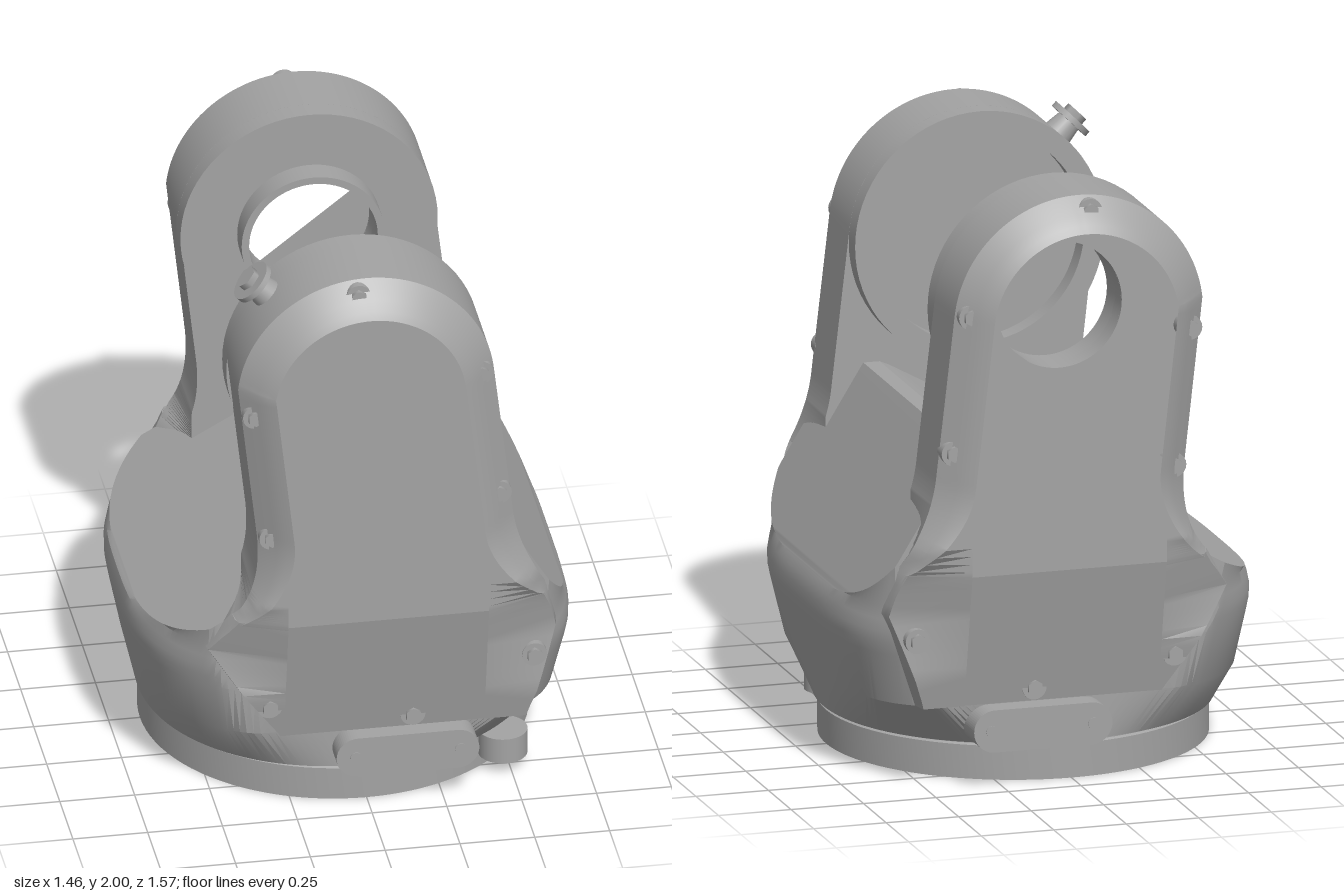
import * as THREE from 'three';
import { toCreasedNormals } from 'three/addons/utils/BufferGeometryUtils.js';

const CX = -0.01, CY = 1.57, R = 0.43; // joint axis and arm head radius
const V = (x, y, z) => new THREE.Vector3(x, y, z);
const { clamp, smoothstep } = THREE.MathUtils;

function fromTriangles(points, crease) {
  const g = new THREE.BufferGeometry().setFromPoints(points);
  return toCreasedNormals(g, crease);
}

// closed cross-sections joined in order
function loft(rings) {
  const out = [];
  for (let k = 0; k + 1 < rings.length; k++) {
    const a = rings[k], b = rings[k + 1], n = a.length;
    for (let i = 0; i < n; i++) {
      const j = (i + 1) % n;
      out.push(a[i], a[j], b[j], a[i], b[j], b[i]);
    }
  }
  return out;
}

// flat polygon, with every vertex placed by a rule
function cap(points, place, flip, hole) {
  const shape = new THREE.Shape(points);
  if (hole) shape.holes.push(hole);
  const g = new THREE.ShapeGeometry(shape, 32).toNonIndexed(), p = g.attributes.position, out = [];
  for (let i = 0; i < p.count; i++) out.push(place({ x: p.getX(i), y: p.getY(i) }));
  if (flip) for (let i = 0; i < out.length; i += 3) [out[i], out[i + 1]] = [out[i + 1], out[i]];
  return out;
}

function mirrorZ(points) {
  const out = points.map((p) => V(p.x, p.y, -p.z));
  for (let i = 0; i < out.length; i += 3) [out[i], out[i + 1]] = [out[i + 1], out[i]];
  return out;
}

// hollow ring around z
function ring(rIn, rOut, z0, z1) {
  const p = [[rIn, z0], [rOut, z0], [rOut, z1], [rIn, z1], [rIn, z0]].map((q) => new THREE.Vector2(...q));
  const g = new THREE.LatheGeometry(p, 72).rotateX(Math.PI / 2).translate(CX, CY, 0);
  return toCreasedNormals(g, 0.5);
}

// front outline of an arm with its lower cover, counter-clockwise
function armOutline() {
  const s = new THREE.Path();
  s.moveTo(-0.3, 0.28).lineTo(0.53, 0.28).lineTo(0.64, 0.6).lineTo(0.605, 0.75).lineTo(0.54, 0.88);
  s.quadraticCurveTo(0.49, 0.98, 0.48, 1.08);
  s.lineTo(CX + R * Math.cos(0.11), CY + R * Math.sin(0.11));
  s.absarc(CX, CY, R, 0.11, Math.PI - 0.11, false);
  s.lineTo(-0.375, 1.06);
  s.quadraticCurveTo(-0.355, 0.85, -0.46, 0.75);
  s.lineTo(-0.54, 0.62).lineTo(-0.3, 0.28);
  const raw = s.getPoints(32), out = [];
  for (let i = 0; i + 1 < raw.length; i++) {
    const n = Math.max(1, Math.ceil(raw[i].distanceTo(raw[i + 1]) / 0.04));
    for (let k = 0; k < n; k++) out.push(raw[i].clone().lerp(raw[i + 1], k / n));
  }
  return out.filter((p, i) => i === 0 || p.distanceTo(out[i - 1]) > 1e-4);
}

const FACE = 0.785; // depth of the outer faces
// lower cover leans inwards and wraps round the housing corners
const lean = (y) => Math.max(0, 0.75 - y) * 0.2;
function wrap(x, y) {
  const n = x > 0 ? 4 : 2.8;
  const plan = 0.785 * (1 - Math.min(1, Math.abs(x) / 0.735) ** n) ** (1 / n);
  return plan + 0.005 + smoothstep(y, 0.7, 1.15) * 0.15;
}

function armTriangles(open) {
  const outline = armOutline(), n = outline.length;
  const inset = (width) => outline.map((p, i) => {
    const t = outline[(i + 1) % n].clone().sub(outline[(i + n - 1) % n]).normalize();
    const d = width * (0.08 + 0.92 * smoothstep(p.y, 0.65, 1.05));
    const y = Math.abs(p.y - 0.75) < 1e-6 ? 0.75 : p.y + t.x * d;
    return new THREE.Vector2(p.x - t.y * d, y);
  });
  const at = (z) => (p) => V(p.x, p.y, Math.min(z - lean(p.y), wrap(p.x, p.y) - (FACE - z) * 0.5));
  const flat = (p) => V(p.x, p.y, 0.47);
  // the flare at the foot dies out towards the inner wall
  const inner = outline.map((p) => new THREE.Vector2(p.y < 1 ? clamp(p.x, -0.39, 0.5) : p.x, p.y));
  const rim = inset(0.11);
  const face = rim.map((p) => new THREE.Vector2(clamp(p.x, -0.285, 0.385), p.y));
  const onFace = (p) => V(p.x, p.y, FACE - lean(p.y));
  const shell = loft([inner.map(flat), outline.map(at(0.69)), inset(0.055).map(at(0.745)),
    inset(0.085).map(at(0.77)), rim.map(at(FACE))]);
  // inner wall, bored through on the open arm
  const bore = open ? new THREE.Path().absarc(CX, CY, 0.215, 0, Math.PI * 2, true) : null;
  shell.push(...cap(inner.filter((p) => p.y >= 0.75), flat, true, bore));
  // outer cover: wrapped edges, leaning skirt and upright face
  const keep = (p) => !open || p.y < 1.34 + 0.82 * p.x;
  const wrapped = loft([rim.map(at(FACE)), face.map(onFace)]);
  for (let i = 0; i < wrapped.length; i += 3) {
    const t = wrapped.slice(i, i + 3);
    if (t.every(keep)) shell.push(...t);
  }
  const cover = cap(face.filter((p) => p.y <= 0.75), onFace);
  cover.push(...cap(face.filter((p) => p.y >= 0.75 && keep(p)), onFace));
  return { shell, cover };
}

// rounded housing cut by two sloping planes with a blunt ridge
function housingTriangles() {
  const N = 160;
  const roof = (x) => Math.min(0.985 + 0.555 * x, 1.755 - 1.62 * x, 1.155);
  const levels = [ // y, half width, half depth, squareness right, left
    [0.13, 0.655, 0.655, 2.1, 2.1], [0.28, 0.688, 0.69, 3.8, 2.9], [0.46, 0.725, 0.73, 4, 2.9],
    [0.5, 0.732, 0.74, 4, 2.9], [0.54, 0.732, 0.75, 4, 2.9], [0.58, 0.722, 0.76, 4, 2.9],
    [0.62, 0.71, 0.77, 4, 2.9], [0.75, 0.71, 0.785, 4, 2.9], [1.25, 0.71, 0.785, 4, 2.9],
  ];
  const rings = levels.map(([y, a, b, nr, nl]) => Array.from({ length: N }, (_, i) => {
    const t = -2 * Math.PI * i / N, c = Math.cos(t), s = Math.sin(t), e = 2 / (c > 0 ? nr : nl);
    const x = a * Math.sign(c) * Math.abs(c) ** e;
    const z = b * Math.sign(s) * Math.abs(s) ** e;
    return V(x, Math.min(y, roof(x)), clamp(z, -0.65, 0.65));
  }));
  const tris = loft(rings), top = rings[rings.length - 1];
  for (let j = 0; j < N / 2; j++) {
    const a = top[j], b = top[j + 1], c = top[N - j - 1], d = top[(N - j) % N];
    tris.push(a, b, c, a, c, d);
  }
  return tris;
}

export function createModel() {
  const model = new THREE.Group();
  model.name = 'jointHousing';
  const grey = new THREE.MeshStandardMaterial({ color: 0xa3a3a3, side: THREE.DoubleSide });
  grey.name = 'castGrey';
  const add = (name, geometry, parent = model) => {
    const m = new THREE.Mesh(geometry, grey);
    m.name = name;
    parent.add(m);
  };

  // base flange with a recessed underside
  const flange = [[0, 0.04], [0.61, 0.04], [0.615, 0], [0.645, 0], [0.645, 0.115], [0.635, 0.12], [0.635, 0.13], [0.655, 0.13]];
  add('baseFlange', toCreasedNormals(new THREE.LatheGeometry(flange.map((p) => new THREE.Vector2(...p)), 96), 0.5));
  add('housing', fromTriangles(housingTriangles(), 0.4));

  // arms
  const front = armTriangles(false), back = armTriangles(true);
  add('frontArm', fromTriangles(front.shell, 0.5));
  add('frontCover', fromTriangles(front.cover, 0.1));
  add('backArm', fromTriangles(mirrorZ(back.shell), 0.5));
  add('backCover', fromTriangles(mirrorZ(back.cover), 0.1));
  add('frontBearingRing', ring(0.36, R, 0.4, 0.48));
  add('backBearingBoss', ring(0.215, R, -0.48, -0.4));
  add('backCollar', ring(0.215, 0.24, -0.41, -0.315));

  // cover bolts (x, y, seat depth) and end bumpers on both faces
  const bolts = [[-0.04, 1.95, 0.718], [0.37, 1.62, 0.718], [-0.385, 1.525, 0.718], [-0.33, 1.06, 0.718],
    [0.43, 1.16, 0.718], [0.55, 0.525, 0.705], [-0.335, 0.415, 0.71], [0.145, 0.335, 0.697]];
  const bumper = new THREE.Shape();
  bumper.absarc(0.29, 0.203, 0.072, -Math.PI / 2, Math.PI / 2, false);
  bumper.absarc(-0.043, 0.203, 0.072, Math.PI / 2, Math.PI * 1.5, false);
  for (const s of [1, -1]) {
    const side = new THREE.Group();
    side.name = s > 0 ? 'frontFittings' : 'backFittings';
    model.add(side);
    for (const [x, y, z] of bolts) {
      const seat = new THREE.CylinderGeometry(0.042, 0.042, 0.05, 20).rotateX(Math.PI / 2);
      add('boltSeat', seat.translate(x, y, s * (z - 0.02)), side);
      const head = new THREE.CylinderGeometry(0.027, 0.027, 0.05, 6).rotateX(Math.PI / 2);
      add('boltHead', head.translate(x, y, s * (z - 0.005)), side);
    }
    const plate = new THREE.ExtrudeGeometry(bumper, { depth: 0.13, bevelEnabled: false, curveSegments: 16 });
    add('bumper', plate.translate(0, 0, s > 0 ? 0.6 : -0.73), side);
    for (const x of [-0.05, 0.3]) {
      const pin = new THREE.CylinderGeometry(0.02, 0.02, 0.008, 16).rotateX(Math.PI / 2);
      add('bumperPin', pin.translate(x, 0.203, s * 0.729), side);
    }
  }

  // cable gland under the front left corner
  add('gland', new THREE.CylinderGeometry(0.082, 0.082, 0.09, 32).translate(0.48, 0.09, 0.5));
  add('glandTip', new THREE.CylinderGeometry(0.045, 0.045, 0.02, 6).translate(0.48, 0.045, 0.5));

  // plug on the front arm head
  const plug = new THREE.Group();
  plug.name = 'plug';
  plug.position.set(CX - R * 0.71, CY + R * 0.71, 0.51);
  plug.rotation.z = Math.PI / 4;
  model.add(plug);
  add('plugStem', new THREE.CylinderGeometry(0.04, 0.055, 0.1, 24).translate(0, 0.02, 0), plug);
  add('plugCap', new THREE.CylinderGeometry(0.075, 0.075, 0.02, 32).translate(0, 0.06, 0), plug);
  add('plugHead', new THREE.CylinderGeometry(0.04, 0.04, 0.025, 6).translate(0, 0.08, 0), plug);
  return model;
}
